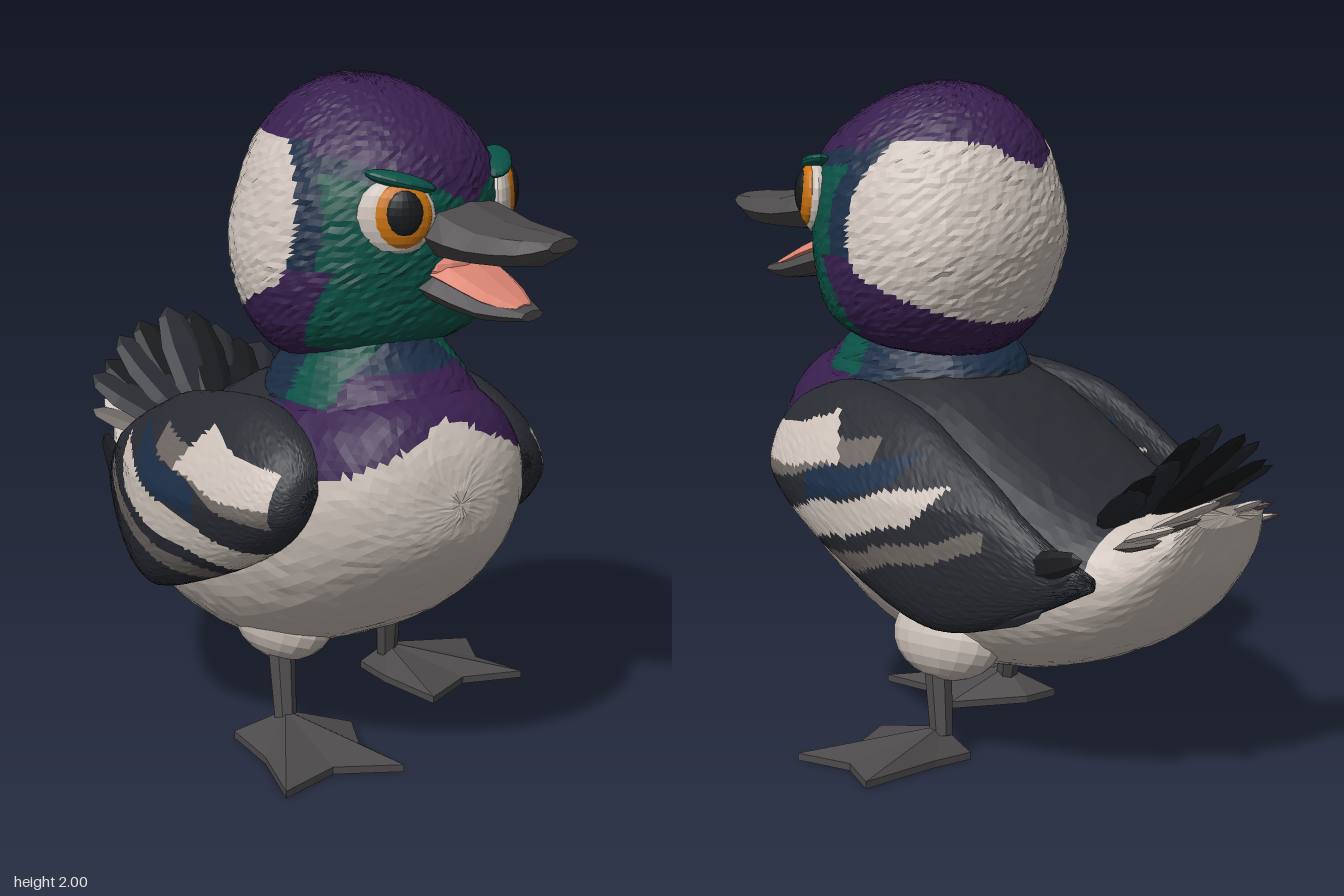
import * as THREE from 'three';

const palette = {
  white: 0xcdc2ba, slate: 0x292b32, black: 0x191a1d, purple: 0x381f4e, green: 0x0b5146,
  navy: 0x1b2d45, orange: 0xcb7410, pink: 0xdd8674, billGrey: 0x4d4a4c, taupe: 0x6d6662,
};
const names = Object.keys(palette);
const mats = names.map((name) => {
  const m = new THREE.MeshStandardMaterial({ color: palette[name] });
  m.name = name;
  return m;
});
const mat = (name) => mats[names.indexOf(name)];

// Repeatable noise in -1..1
const noise = (n) => {
  const s = Math.sin(n * 127.1 + 11.7) * 43758.5453;
  return 2 * (s - Math.floor(s)) - 1;
};

// Faceted closed skin through rings [t, low, high, halfWidth, centreX]; t rises along z, power < 1 squares the sides
function loft(rings, steps, sides, jitter = 0, power = 1) {
  const a = new THREE.CatmullRomCurve3(rings.map((r) => new THREE.Vector3(r[0], r[1], r[2])), false, 'catmullrom');
  const b = new THREE.CatmullRomCurve3(rings.map((r) => new THREE.Vector3(r[3], r[4] || 0, 0)), false, 'catmullrom');
  const pos = [], idx = [];
  for (let i = 0; i <= steps; i++) {
    const p = a.getPoint(i / steps), q = b.getPoint(i / steps);
    for (let j = 0; j < sides; j++) {
      const t = (j / sides) * Math.PI * 2, k = i * sides + j;
      const n = jitter * noise(k), c = Math.cos(t);
      pos.push(q.y + (q.x + n) * Math.sign(c) * Math.abs(c) ** power,
        (p.y + p.z) / 2 + ((p.z - p.y) / 2 + n) * Math.sin(t), p.x + jitter * 0.5 * noise(k + 0.5));
      if (i < steps) {
        const k2 = i * sides + ((j + 1) % sides);
        idx.push(k, k2, k2 + sides, k, k2 + sides, k + sides);
      }
    }
  }
  for (const [i, flip] of [[0, true], [steps, false]]) {
    const p = a.getPoint(i / steps), c = pos.length / 3;
    pos.push(b.getPoint(i / steps).y, (p.y + p.z) / 2, p.x);
    for (let j = 0; j < sides; j++) {
      const k = i * sides + j, k2 = i * sides + ((j + 1) % sides);
      idx.push(c, flip ? k2 : k, flip ? k : k2);
    }
  }
  const g = new THREE.BufferGeometry();
  g.setAttribute('position', new THREE.Float32BufferAttribute(pos, 3));
  g.setIndex(idx);
  return g;
}

// Rings listed upward: [y, frontZ, backZ, halfWidth]
const loftUp = (rings, steps, sides, jitter) =>
  loft(rings.map((r) => [r[0], -r[1], -r[2], r[3]]), steps, sides, jitter).rotateX(-Math.PI / 2);

function add(parent, name, geo, colour) {
  const g = geo.index ? geo.toNonIndexed() : geo;
  g.computeVertexNormals();
  const m = new THREE.Mesh(g, mat(colour));
  m.name = name;
  parent.add(m);
  return m;
}

// Sorts the triangles into one group per colour, chosen by each triangle's centre
function addPainted(parent, name, geo, rule) {
  const src = geo.toNonIndexed().attributes.position.array;
  const buckets = names.map(() => []);
  for (let i = 0; i < src.length; i += 9) {
    const c = [0, 1, 2].map((k) => (src[i + k] + src[i + 3 + k] + src[i + 6 + k]) / 3);
    buckets[names.indexOf(rule(...c))].push(...src.slice(i, i + 9));
  }
  const g = new THREE.BufferGeometry();
  g.setAttribute('position', new THREE.Float32BufferAttribute(buckets.flat(), 3));
  let start = 0;
  buckets.forEach((b, i) => {
    if (b.length) g.addGroup(start, b.length / 3, i);
    start += b.length / 3;
  });
  g.computeVertexNormals();
  const m = new THREE.Mesh(g, mats);
  m.name = name;
  parent.add(m);
}

const UP = new THREE.Vector3(0, 1, 0);
const ball = (rx, ry, rz, w = 14, h = 10) => new THREE.SphereGeometry(1, w, h).scale(rx, ry, rz);
const feather = (len, w) => ball(w, len / 2, 0.018, 6, 5).translate(0, len / 2, 0);

// Webbed foot: a fan falling from the ankle to toe tips and web valleys
function foot(parent, [ax, az], outline) {
  const top = [], sole = [], n = outline.length;
  outline.forEach(([x, z], i) => {
    const [x2, z2] = outline[(i + 1) % n];
    top.push(ax, 0.1, az, x, 0.022, z, x2, 0.022, z2);
    top.push(x, 0.022, z, x, 0, z, x2, 0, z2, x, 0.022, z, x2, 0, z2, x2, 0.022, z2);
    sole.push(ax, 0, az, x2, 0, z2, x, 0, z);
  });
  for (const [name, p, c] of [['footWeb', top, 'billGrey'], ['footSole', sole, 'black']]) {
    const g = new THREE.BufferGeometry();
    g.setAttribute('position', new THREE.Float32BufferAttribute(p, 3));
    add(parent, name, g, c);
  }
}

export function createModel() {
  const model = new THREE.Group();
  model.name = 'duckling';

  // Body, turned slightly to its right
  const body = new THREE.Group();
  body.name = 'body';
  body.rotation.y = -0.145;
  body.position.x = -0.065;
  model.add(body);
  addPainted(body, 'torso', loft([
    [-0.93, 0.80, 0.86, 0.14], [-0.85, 0.62, 0.83, 0.21], [-0.70, 0.45, 0.78, 0.28], [-0.50, 0.33, 0.85, 0.37],
    [-0.25, 0.26, 0.98, 0.43], [0, 0.245, 1.11, 0.455], [0.25, 0.30, 1.17, 0.45], [0.50, 0.43, 1.17, 0.405],
    [0.70, 0.60, 1.13, 0.30], [0.79, 0.72, 1.02, 0.17], [0.82, 0.82, 0.90, 0.03]], 60, 64, 0.002, 0.8),
  (x, y, z) => {
    if (z > 0.3 && y > 1.1 - 0.5 * Math.abs(x)) return 'purple';
    if (z < 0.4 && z > -0.64 && y > 0.82 + 0.25 * z) return 'slate';
    return 'white';
  });
  addPainted(body, 'neck', loftUp([
    [0.9, 0.72, 0.05, 0.30], [1.05, 0.74, 0.0, 0.31], [1.15, 0.67, 0.02, 0.27], [1.25, 0.56, 0.12, 0.22],
    [1.4, 0.50, 0.16, 0.2]], 32, 64, 0.003),
  (x, y, z) => {
    if (z < 0.18) return y > 1.12 ? 'navy' : 'slate';
    if (z < 0.36) return 'navy';
    if (z < 0.53 && y > 1.1) return 'green';
    if (y > 1.2) return 'navy';
    return y > 1.1 - 0.5 * Math.abs(x) ? 'purple' : 'white';
  });

  // Folded wings with slanting bands; the right one is tucked in at the rear
  for (const s of [1, -1]) {
    const wing = new THREE.Group();
    wing.name = s > 0 ? 'leftWing' : 'rightWing';
    body.add(wing);
    const tuck = (z) => (s < 0 ? 0.13 * Math.min(1, Math.max(0, -z / 0.75)) - 0.015 : 0);
    const g = loft([
      [-0.76, 0.64, 0.68, 0.01, 0.38], [-0.6, 0.56, 0.75, 0.05, 0.40], [-0.4, 0.47, 0.88, 0.08, 0.43],
      [-0.2, 0.43, 0.98, 0.10, 0.45], [0, 0.47, 1.06, 0.12, 0.45], [0.3, 0.59, 1.10, 0.13, 0.43],
      [0.5, 0.70, 1.05, 0.11, 0.41], [0.59, 0.79, 0.98, 0.07, 0.39], [0.62, 0.87, 0.91, 0.02, 0.38],
    ].map((r) => [...r.slice(0, 4), s * (r[4] - tuck(r[0]))]), 90, 120, 0.001);
    const p = g.attributes.position;
    for (let i = 0; i < p.count; i++) p.setX(i, p.getX(i) - s * 0.35 * Math.max(0, p.getY(i) - 0.82));
    addPainted(wing, 'wingPanel', g, (x, y, z) => {
      const t = y + 0.25 * z + 0.008 * Math.sin(z * 20);
      if (z > 0.57) return 'slate';
      if (t > 0.9 + 0.14 * z && t < 1.085 && z > 0.17 + 0.6 * (t - 0.95)) return 'white';
      if (t > 0.925 && t < 1.0 && z > 0.03) return 'taupe';
      if (t > 0.83 && t < 0.92 && z > -0.15 + 0.8 * (0.92 - t) && z < 0.29) return 'navy';
      if (t > 0.71 && t < 0.82 && z > -0.29 + 1.2 * (0.82 - t) && z < 0.5) return 'white';
      if (t > 0.6 && t < 0.66 && z > -0.43 && z < 0.28) return 'taupe';
      return 'slate';
    });
    const trail = new THREE.Vector3(s > 0 ? -0.1 : 0.28, 0.28, -1).normalize();
    for (let i = 0; i < 4; i++) {
      const f = add(wing, 'flightFeather', feather(0.34, 0.045), i % 2 ? 'black' : 'slate');
      const z = -0.28 - 0.05 * i;
      f.position.set(s * (0.45 - tuck(z)), 0.48 + 0.055 * i, z);
      f.quaternion.setFromUnitVectors(UP, trail);
      f.rotateY(Math.PI / 2);
    }
  }

  // Tail: raised dark fan above a pale lower fan, both cupped
  const fans = [['upperTail', 0.76, -0.6, -0.72, 0.43, 0.08, 0.165, ['slate', 'black']],
    ['lowerTail', 0.71, -0.63, -1.05, 0.4, 0.065, 0.15, ['taupe', 'white']]];
  for (const [name, y, z, tilt, len, w, spread, colours] of fans) {
    const fan = new THREE.Group();
    fan.name = name;
    fan.position.set(0.015, y, z);
    fan.rotation.x = tilt;
    body.add(fan);
    for (let i = -4; i <= 4; i++) {
      const f = add(fan, 'tailFeather', feather(len * (1 - 0.04 * Math.abs(i) + 0.06 * noise(i)), w), colours[Math.abs(i) % 2]);
      f.rotation.set(-0.06 * Math.abs(i), 0, -i * spread);
      f.position.set(i * 0.025, 0, 0.012 * (i % 2));
    }
  }

  // Legs and webbed feet: hip, ankle, then the foot outline
  const legs = [
    ['leftLeg', [0.28, 0.32, -0.01], [0.31, 0.07, -0.05],
      [[0.24, 0.02], [0.23, 0.26], [0.42, 0.19], [0.6, 0.27], [0.58, 0.08], [0.68, -0.07], [0.4, -0.1], [0.27, -0.13]]],
    ['rightLeg', [-0.28, 0.32, 0.13], [-0.32, 0.07, 0.2],
      [[-0.48, 0.3], [-0.6, 0.54], [-0.38, 0.49], [-0.21, 0.61], [-0.2, 0.4], [-0.1, 0.25], [-0.3, 0.1], [-0.42, 0.08]]],
  ];
  for (const [name, hip, ankle, outline] of legs) {
    const leg = new THREE.Group();
    leg.name = name;
    model.add(leg);
    const thigh = add(leg, 'thigh', ball(0.12, 0.135, 0.19, 18, 12), 'white');
    thigh.position.set(hip[0] * 0.9, 0.365, hip[2] - 0.02);
    thigh.rotation.z = hip[0] * 0.9;
    const A = new THREE.Vector3(...ankle), B = new THREE.Vector3(...hip);
    const shank = add(leg, 'shank', new THREE.CylinderGeometry(0.045, 0.034, A.distanceTo(B), 7), 'billGrey');
    shank.position.copy(A).add(B).multiplyScalar(0.5);
    shank.quaternion.setFromUnitVectors(UP, B.sub(A).normalize());
    foot(leg, [ankle[0], ankle[2]], outline);
  }

  // Head, turned slightly to its left about its own centre
  const head = new THREE.Group();
  head.name = 'head';
  head.rotation.y = 0.13;
  head.position.set(-0.05 - 0.25 * Math.sin(0.13), 0, 0.25 - 0.25 * Math.cos(0.13));
  model.add(head);
  addPainted(head, 'skull', loftUp([
    [1.18, 0.30, 0.05, 0.15], [1.22, 0.45, 0.0, 0.29], [1.3, 0.57, -0.06, 0.375], [1.42, 0.61, -0.11, 0.415],
    [1.55, 0.635, -0.14, 0.41], [1.7, 0.64, -0.12, 0.37], [1.82, 0.59, -0.08, 0.305], [1.92, 0.47, 0.0, 0.21],
    [1.98, 0.34, 0.1, 0.11], [2.0, 0.25, 0.18, 0.02]], 80, 110, 0.003),
  (x, y, z) => {
    const a = Math.abs(x) + 0.015 * Math.sin(y * 60 + z * 30);
    const cap = z > 0.3 ? 1.66 + 0.5 * a : 1.74 + 0.5 * Math.min(0.2, a);
    const patch = 0.33 - 2 * (y - 1.6) ** 2;
    if (y > cap) return 'purple';
    if (z < patch && y > 1.31 + 0.5 * z) return 'white';
    if ((y < 1.5 && z < 0.31 + (y - 1.25) * 0.55) || y < 1.17 + 0.4 * (a - 0.1)) return 'purple';
    if (z < patch + 0.08 || (y > cap - 0.05 && z < 0.6) || y < 1.26) return 'navy';
    return 'green';
  });

  // Eyes glancing to the model's left, under slanting brows
  for (const s of [1, -1]) {
    const eye = new THREE.Group();
    eye.name = s > 0 ? 'leftEye' : 'rightEye';
    eye.position.set(s * 0.226 + 0.008, 1.65, 0.55);
    eye.rotation.set(-0.03, s * 0.7, 0, 'YXZ');
    head.add(eye);
    add(eye, 'eyeWhite', ball(0.115, 0.112, 0.045, 22), 'white');
    add(eye, 'iris', ball(0.088, 0.094, 0.035, 22), 'orange').position.set(0.014, 0.006, 0.02);
    add(eye, 'pupil', ball(0.058, 0.068, 0.03, 18), 'black').position.set(0.018, 0.014, 0.035);
    const brow = add(eye, 'brow', ball(0.105, 0.024, 0.05), 'green');
    brow.position.set(-s * 0.015, 0.1, -0.005);
    brow.rotation.z = s * 0.25;
  }

  // Open bill
  add(head, 'upperBill', loft([
    [0.54, 1.51, 1.69, 0.12], [0.63, 1.51, 1.68, 0.18], [0.76, 1.515, 1.635, 0.175], [0.9, 1.525, 1.625, 0.125],
    [0.975, 1.575, 1.615, 0.07]], 8, 8), 'billGrey');
  add(head, 'lowerBill', loft([
    [0.48, 1.41, 1.52, 0.16], [0.62, 1.38, 1.49, 0.16], [0.76, 1.355, 1.43, 0.125], [0.87, 1.365, 1.395, 0.05]], 6, 8), 'billGrey');
  add(head, 'tongue', loft([
    [0.5, 1.45, 1.55, 0.13], [0.64, 1.43, 1.51, 0.13], [0.76, 1.395, 1.448, 0.1], [0.84, 1.38, 1.408, 0.04]], 6, 8), 'pink');
  add(head, 'mouthLining', ball(0.135, 0.06, 0.07), 'pink').position.set(0, 1.49, 0.59);
  return model;
}
